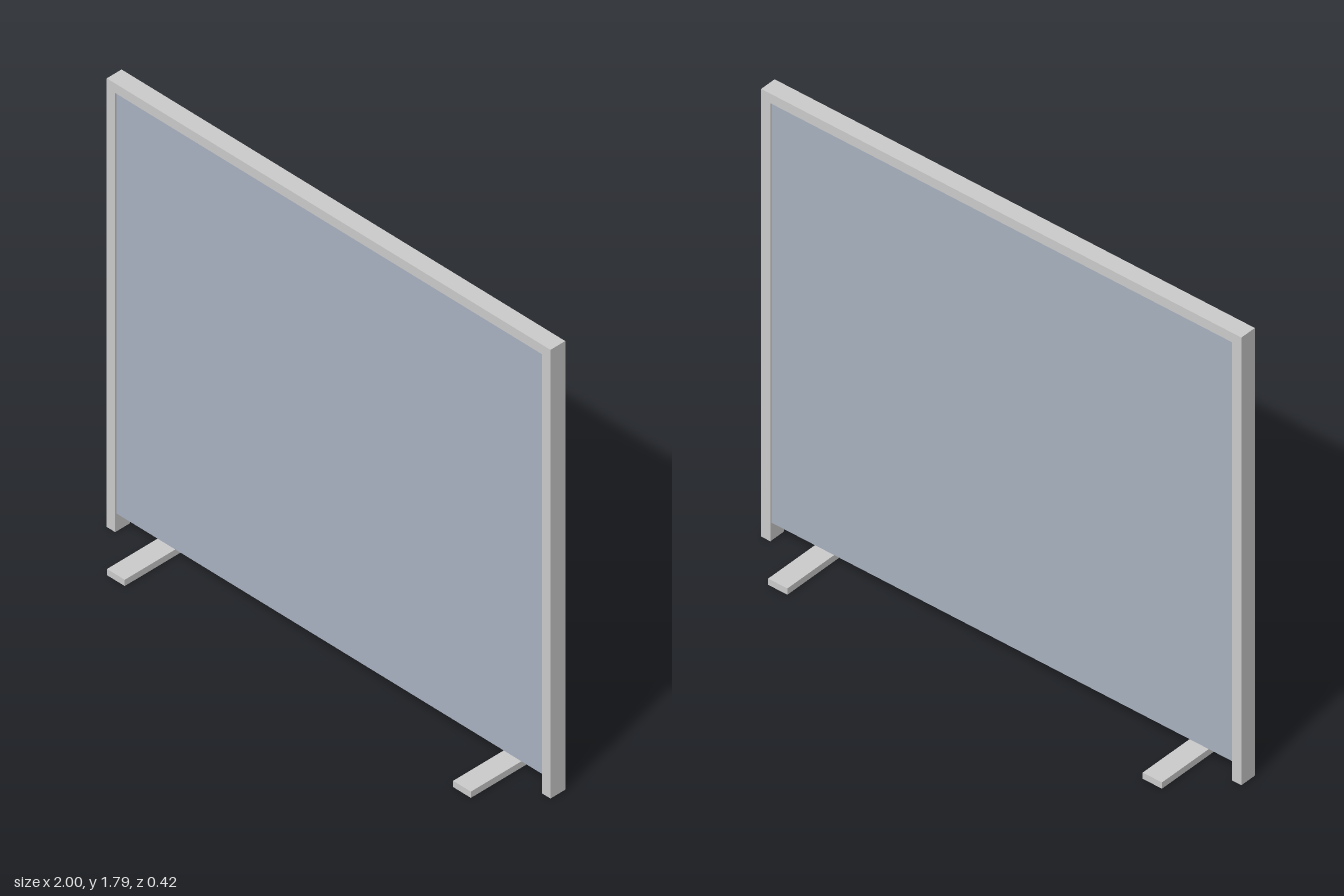
import * as THREE from 'three';

export function createModel() {
  const model = new THREE.Group();
  const grey = new THREE.MeshStandardMaterial({ color: 0xcccccc });
  const blueGrey = new THREE.MeshStandardMaterial({ color: 0xa8b2c0 });

  // Box given by its size, centre x and bottom y; centred on z = 0
  const box = (name, w, h, d, x, y, material = grey) => {
    const mesh = new THREE.Mesh(new THREE.BoxGeometry(w, h, d), material);
    mesh.name = name;
    mesh.position.set(x, y + h / 2, 0);
    model.add(mesh);
  };

  const height = 1.787, bar = 0.038, depth = 0.066;
  const inner = 2 - 2 * bar;

  // Posts down to the floor and flat feet just inside them
  for (const [side, s] of [['left', 1], ['right', -1]]) {
    box(side + 'Post', bar, height, depth, s * (1 - bar / 2), 0);
    box(side + 'Foot', 0.08, 0.025, 0.42, s * 0.78, 0);
  }

  // Top rail and the infill panel, set back slightly on both faces
  box('topRail', inner, bar, depth, 0, height - bar);
  box('panel', inner, height - bar - 0.07, 0.052, 0, 0.07, blueGrey);

  return model;
}
